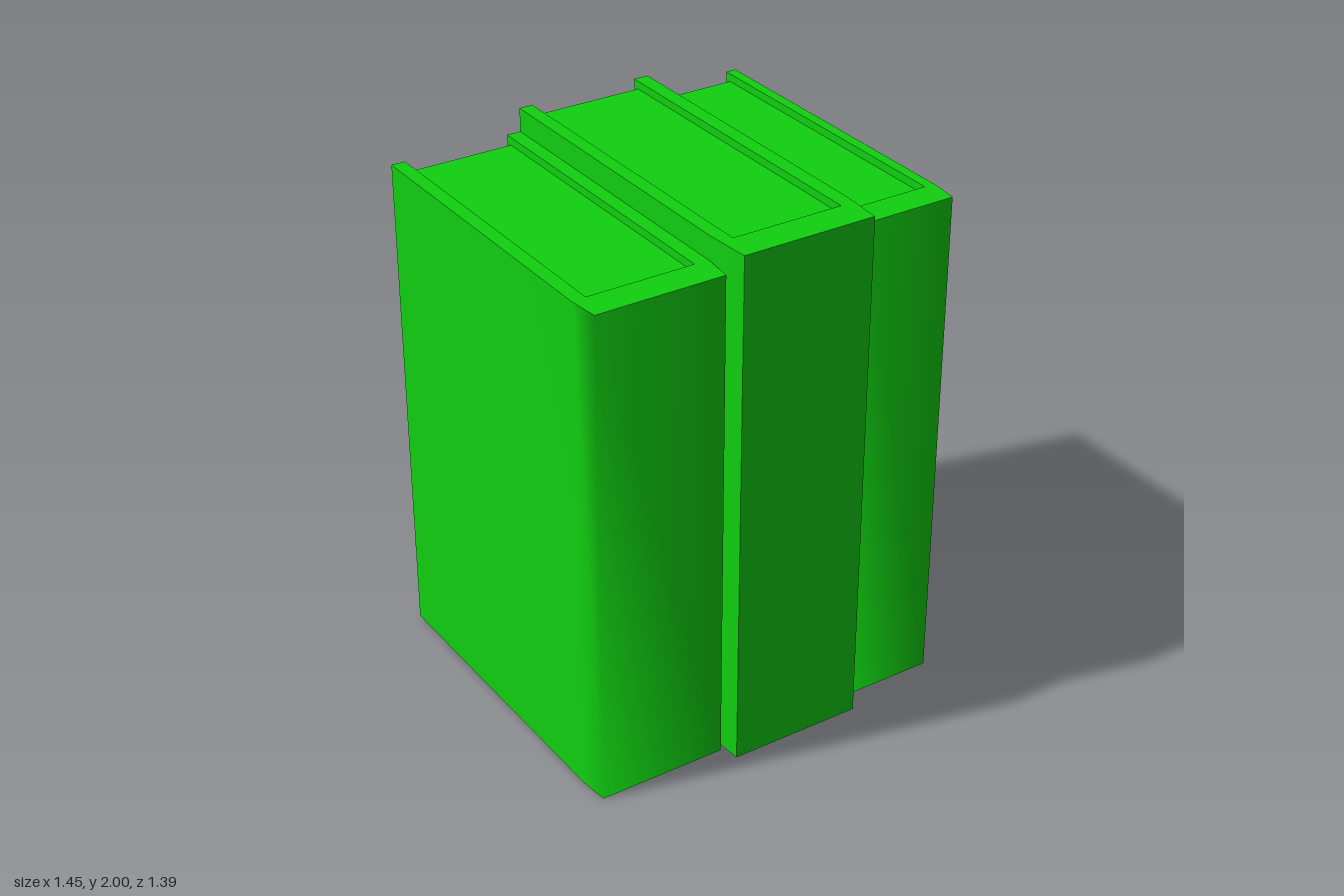
import * as THREE from 'three';
import { toCreasedNormals } from 'three/addons/utils/BufferGeometryUtils.js';

const BACK = -0.695, PAGE_BACK = -0.67, RECESS = 0.03;

// x0, x1: outer cover sides; p0, p1: page block sides
const BOOKS = [
  { name: 'rightBook', x0: -0.725, x1: -0.208, p0: -0.672, p1: -0.262, front: 0.63, pageFront: 0.51, height: 1.91 },
  { name: 'middleBook', x0: -0.208, x1: 0.332, p0: -0.155, p1: 0.275, front: 0.695, pageFront: 0.57, height: 2.0 },
  { name: 'leftBook', x0: 0.332, x1: 0.722, p0: 0.37, p1: 0.682, front: 0.615, pageFront: 0.5, height: 1.935 },
];

function createBook(b, material) {
  const book = new THREE.Group();
  book.name = b.name;

  // U-shaped cover with a slightly tapered spine, drawn in plan (shape y = -z)
  const inset = 0.012, taper = 0.52;
  const plan = [
    [b.x0, BACK], [b.x0, taper], [b.x0 + inset, b.front], [b.x1 - inset, b.front],
    [b.x1, taper], [b.x1, BACK], [b.p1, BACK], [b.p1, b.pageFront],
    [b.p0, b.pageFront], [b.p0, BACK],
  ];
  const shape = new THREE.Shape(plan.map(([x, z]) => new THREE.Vector2(x, -z)));
  const coverGeometry = new THREE.ExtrudeGeometry(shape, { depth: b.height, bevelEnabled: false });
  coverGeometry.rotateX(-Math.PI / 2);
  // Spine shades softly into the sides; right-angled edges stay sharp
  const cover = new THREE.Mesh(toCreasedNormals(coverGeometry, 1.5), material);
  cover.name = 'cover';

  // Page block, recessed at top, bottom and back
  const depth = b.pageFront - PAGE_BACK;
  const pages = new THREE.Mesh(
    new THREE.BoxGeometry(b.p1 - b.p0, b.height - 2 * RECESS, depth), material);
  pages.name = 'pages';
  pages.position.set((b.p0 + b.p1) / 2, b.height / 2, PAGE_BACK + depth / 2);

  book.add(cover, pages);
  return book;
}

export function createModel() {
  const material = new THREE.MeshStandardMaterial({ color: 0x10d010 });
  const model = new THREE.Group();
  model.name = 'rowOfBooks';
  for (const b of BOOKS) model.add(createBook(b, material));
  return model;
}
